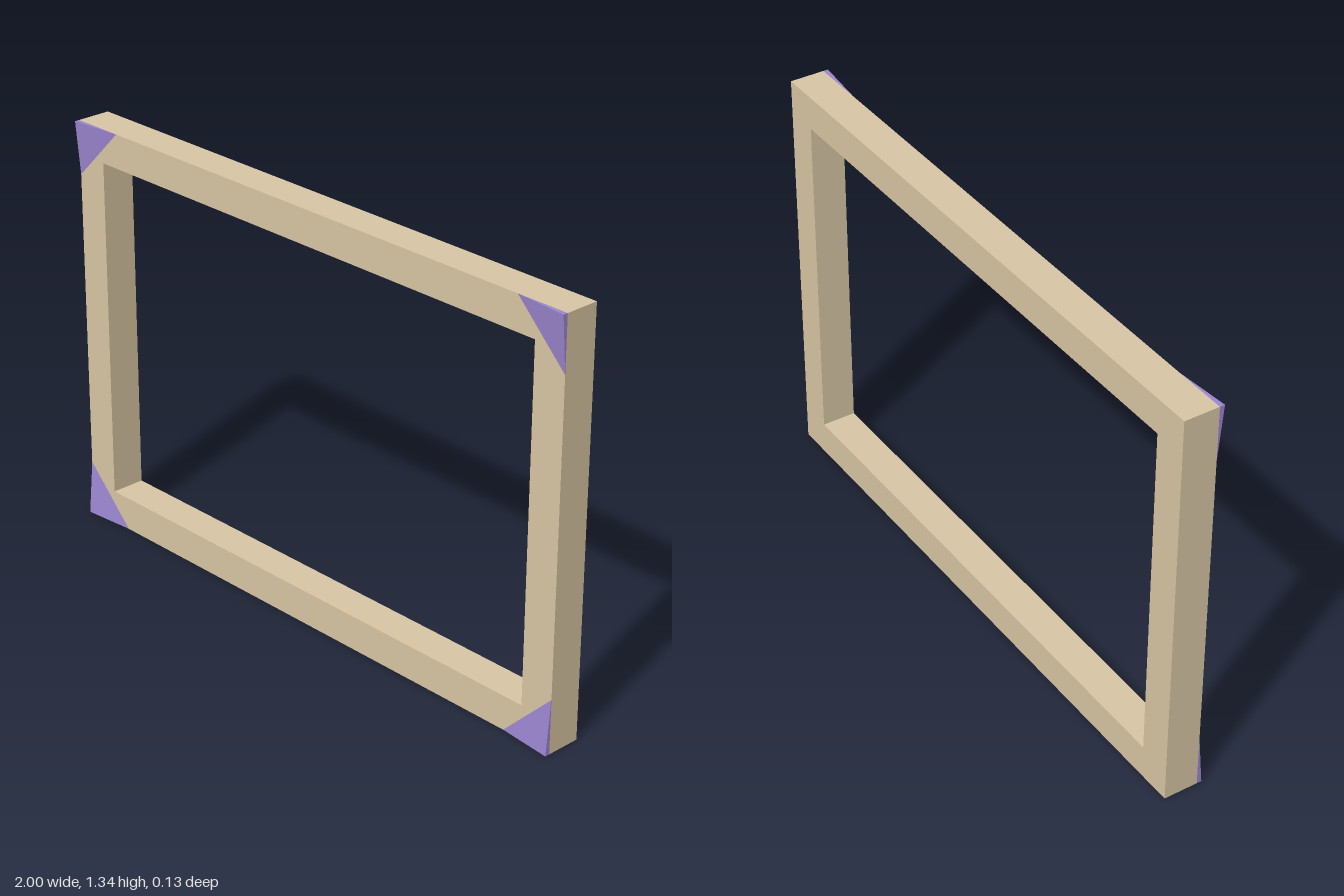
import * as THREE from 'three';
import { ConvexGeometry } from 'three/addons/geometries/ConvexGeometry.js';

const W = 1, H = 1.336, BAR = 0.11;      // half width, height, bar thickness
const BACK = -0.064, FRONT = 0.048, TIP = 0.064, LEG = 0.176;

export function createModel() {
  const group = new THREE.Group();
  const wood = new THREE.MeshStandardMaterial({ color: 0xd8c6a4 });
  const purple = new THREE.MeshStandardMaterial({ color: 0x9c86d0 });

  // Rectangular frame with an open middle
  const outline = new THREE.Shape([
    new THREE.Vector2(-W, 0), new THREE.Vector2(W, 0),
    new THREE.Vector2(W, H), new THREE.Vector2(-W, H),
  ]);
  outline.holes.push(new THREE.Path([
    new THREE.Vector2(-W + BAR, BAR), new THREE.Vector2(-W + BAR, H - BAR),
    new THREE.Vector2(W - BAR, H - BAR), new THREE.Vector2(W - BAR, BAR),
  ]));
  const frameGeometry = new THREE.ExtrudeGeometry(outline, { depth: FRONT - BACK, bevelEnabled: false });
  frameGeometry.translate(0, 0, BACK);
  const frame = new THREE.Mesh(frameGeometry, wood);
  frame.name = 'frame';
  group.add(frame);

  // Triangular corner guards, thickest at the outer corner
  for (const [sx, xName] of [[-1, 'Right'], [1, 'Left']]) {
    for (const [y, sy, yName] of [[0, 1, 'bottom'], [H, -1, 'top']]) {
      const x = sx * W;
      const guard = new THREE.Mesh(new ConvexGeometry([
        new THREE.Vector3(x, y, FRONT),
        new THREE.Vector3(x, y, TIP),
        new THREE.Vector3(x - sx * LEG, y, FRONT),
        new THREE.Vector3(x, y + sy * LEG, FRONT),
      ]), purple);
      guard.name = `${yName}${xName}CornerGuard`;
      group.add(guard);
    }
  }
  return group;
}
